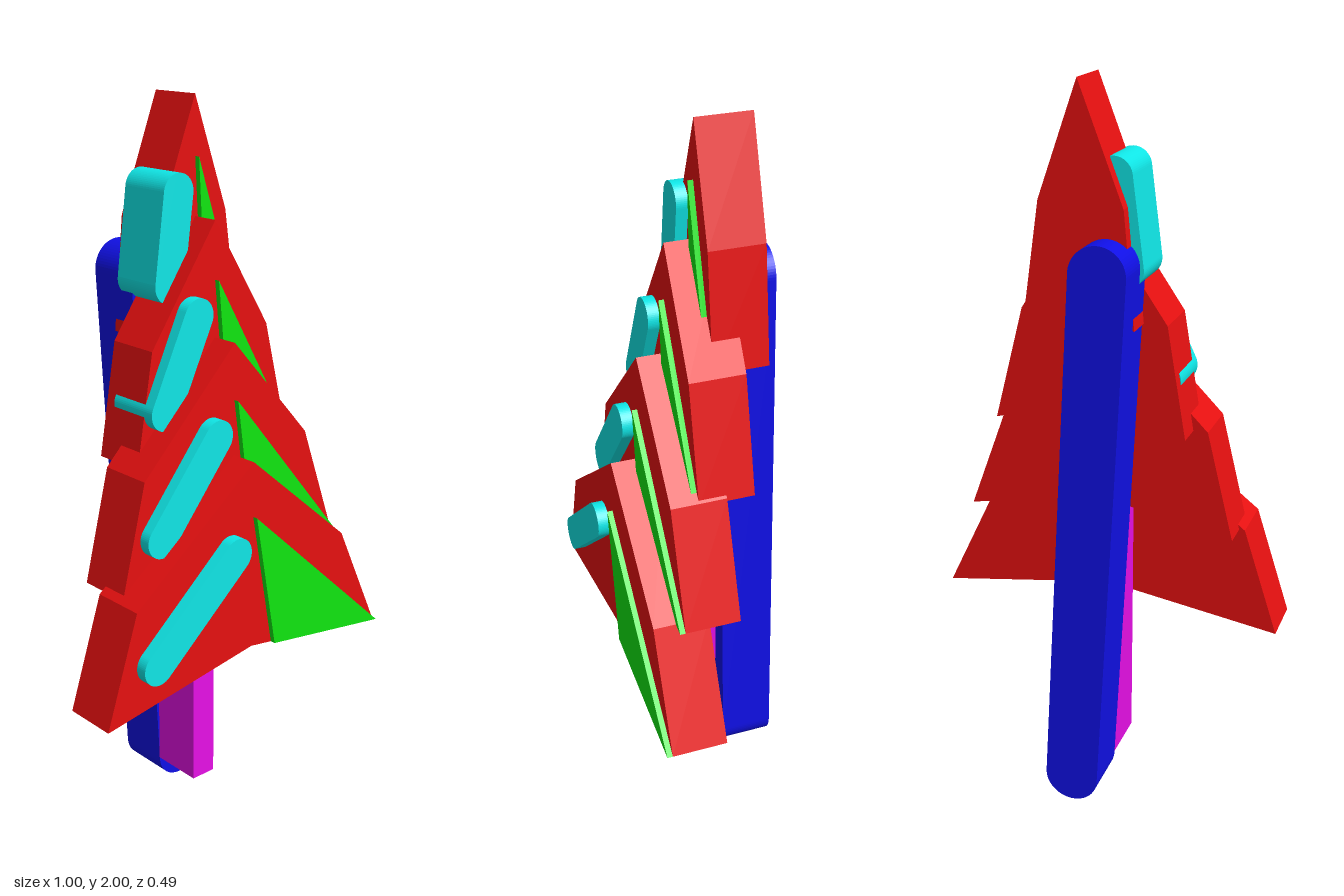
import * as THREE from 'three';

const mat = (name, color) => {
  const m = new THREE.MeshStandardMaterial({ color });
  m.name = name;
  return m;
};

const DEPTH = 0.153; // thickness of every main slab
const STEP = 0.077;  // forward shift from tier to tier
const RISE = 0.305;  // height difference from tier to tier

// Slab cut from a flat outline, with its front face at z = front
function slab(name, shape, front, depth, material) {
  const geo = new THREE.ExtrudeGeometry(shape, { depth, bevelEnabled: false, curveSegments: 16 });
  geo.translate(0, 0, front - depth);
  const mesh = new THREE.Mesh(geo, material);
  mesh.name = name;
  return mesh;
}

const polygon = (pts) => new THREE.Shape(pts.map(([x, y]) => new THREE.Vector2(x, y)));

// Round-ended bar running from (x0, y0) up to (x1, y1)
function bar(x0, y0, x1, y1, r) {
  const a = Math.atan2(y1 - y0, x1 - x0);
  const s = new THREE.Shape();
  s.absarc(x1, y1, r, a - Math.PI / 2, a + Math.PI / 2, false);
  s.absarc(x0, y0, r, a + Math.PI / 2, a + Math.PI * 1.5, false);
  s.closePath();
  return s;
}

export function createModel() {
  const red = mat('red', 0xe61010);
  const green = mat('green', 0x10e610);
  const cyan = mat('cyan', 0x10e6e6);
  const blue = mat('blue', 0x1010e6);
  const magenta = mat('magenta', 0xe610e6);

  const tree = new THREE.Group();
  tree.name = 'layeredTree';

  // Trunk: leaning rounded bar at the back with a straight strip before it
  tree.add(slab('trunk', bar(0, 0.077, -0.077, 1.54, 0.076), -0.094, DEPTH, blue));
  tree.add(slab('trunkStrip', polygon([[-0.077, 0.08], [0, 0.08], [0, 0.925], [-0.077, 0.925]]),
    0.059, DEPTH, magenta));

  // Four foliage tiers, from the wide front one to the narrow top one
  for (let i = 0; i < 4; i++) {
    const w = 0.5 - i * 0.1167;
    const y = 0.468 + i * RISE + i * 0.001;
    const front = 0.213 - i * STEP;
    const tier = new THREE.Group();
    tier.name = `tier${i + 1}`;

    tier.add(slab('foliage', polygon([
      [-w, y], [0, y + 0.077], [w, y], [w * 0.7, y + 0.315], [0, y + 0.613], [-w * 0.8, y + 0.305],
    ]), front, DEPTH, red));

    // Pointed panel on one half
    tier.add(slab('sidePanel', polygon([
      [0, y + 0.459], [w * 0.15, y + 0.0655], [w, y],
    ]), front + 0.015, 0.015, green));

    // Rounded bar on the other half
    tier.add(slab('branchBar', bar(
      -0.354 + i * 0.08, y + 0.147, -0.083, y + 0.379, 0.049,
    ), front + 0.032, DEPTH, cyan));

    tree.add(tier);
  }
  return tree;
}
